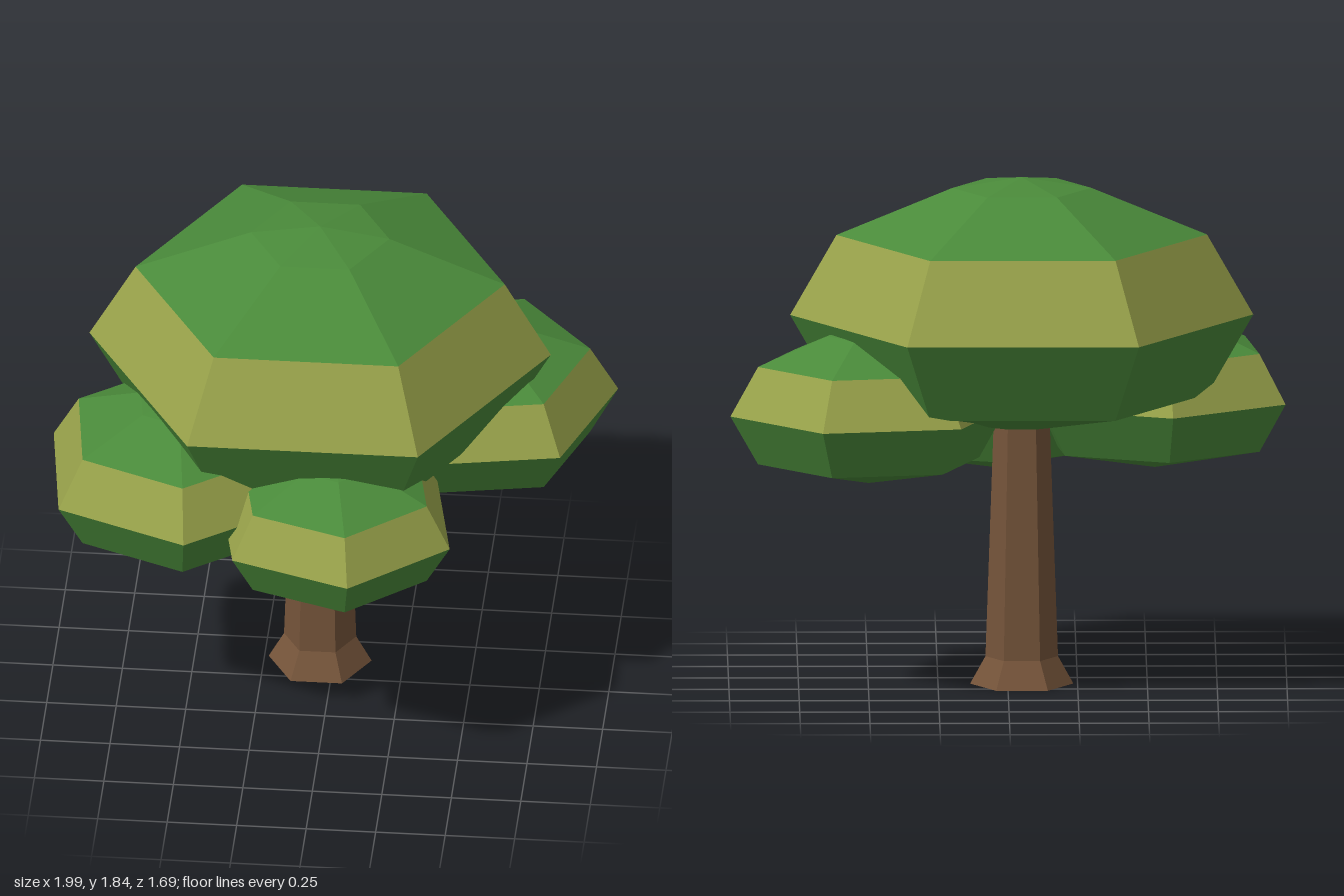
import * as THREE from 'three';

const leafGreen = new THREE.MeshStandardMaterial({ color: 0x4a8a3a });
leafGreen.name = 'leaf green';
const olive = new THREE.MeshStandardMaterial({ color: 0x98a24a });
olive.name = 'olive';
const bark = new THREE.MeshStandardMaterial({ color: 0x75543a });
bark.name = 'bark brown';

// Six-sided faceted solid of revolution; the profile runs from bottom to top.
// A corner lies at the given angle, measured from +x towards +z.
function hexLathe(name, profile, angle, material) {
  const points = profile.map(([r, y]) => new THREE.Vector2(r, y));
  const start = Math.PI / 2 - THREE.MathUtils.degToRad(angle);
  const geometry = new THREE.LatheGeometry(points, 6, start).toNonIndexed();
  geometry.computeVertexNormals();
  const mesh = new THREE.Mesh(geometry, material);
  mesh.name = name;
  return mesh;
}

// Foliage cross-section for a clump of radius 1
const underside = [[0, -0.51], [0.8, -0.35], [1, 0]];
const band = [[1, 0], [0.8, 0.35]];
const cap = [[0.8, 0.35], [0.3, 0.555], [0, 0.602]];

function foliage(name, x, y, z, radius, angle) {
  const group = new THREE.Group();
  group.name = name;
  group.add(
    hexLathe('foliageUnderside', underside, angle, leafGreen),
    hexLathe('foliageBand', band, angle, olive),
    hexLathe('foliageCap', cap, angle, leafGreen),
  );
  group.position.set(x, y, z);
  group.scale.setScalar(radius);
  return group;
}

export function createModel() {
  const tree = new THREE.Group();
  tree.name = 'tree';

  // Tapered trunk with a flared, closed foot
  const trunk = hexLathe('trunk',
    [[0, 0], [0.185, 0], [0.13, 0.1], [0.097, 1.05], [0, 1.05]], 0, bark);
  trunk.position.set(-0.05, 0, -0.13);
  tree.add(trunk);

  // Main crown and three lower clumps
  tree.add(
    foliage('mainCrown', -0.05, 1.34, -0.13, 0.83, 0),
    foliage('rightClump', -0.53, 0.99, 0.2, 0.507, 23),
    foliage('leftClump', 0.5, 1.02, -0.33, 0.505, 49.3),
    foliage('frontClump', 0.05, 0.93, 0.4, 0.452, 19.4),
  );
  return tree;
}
